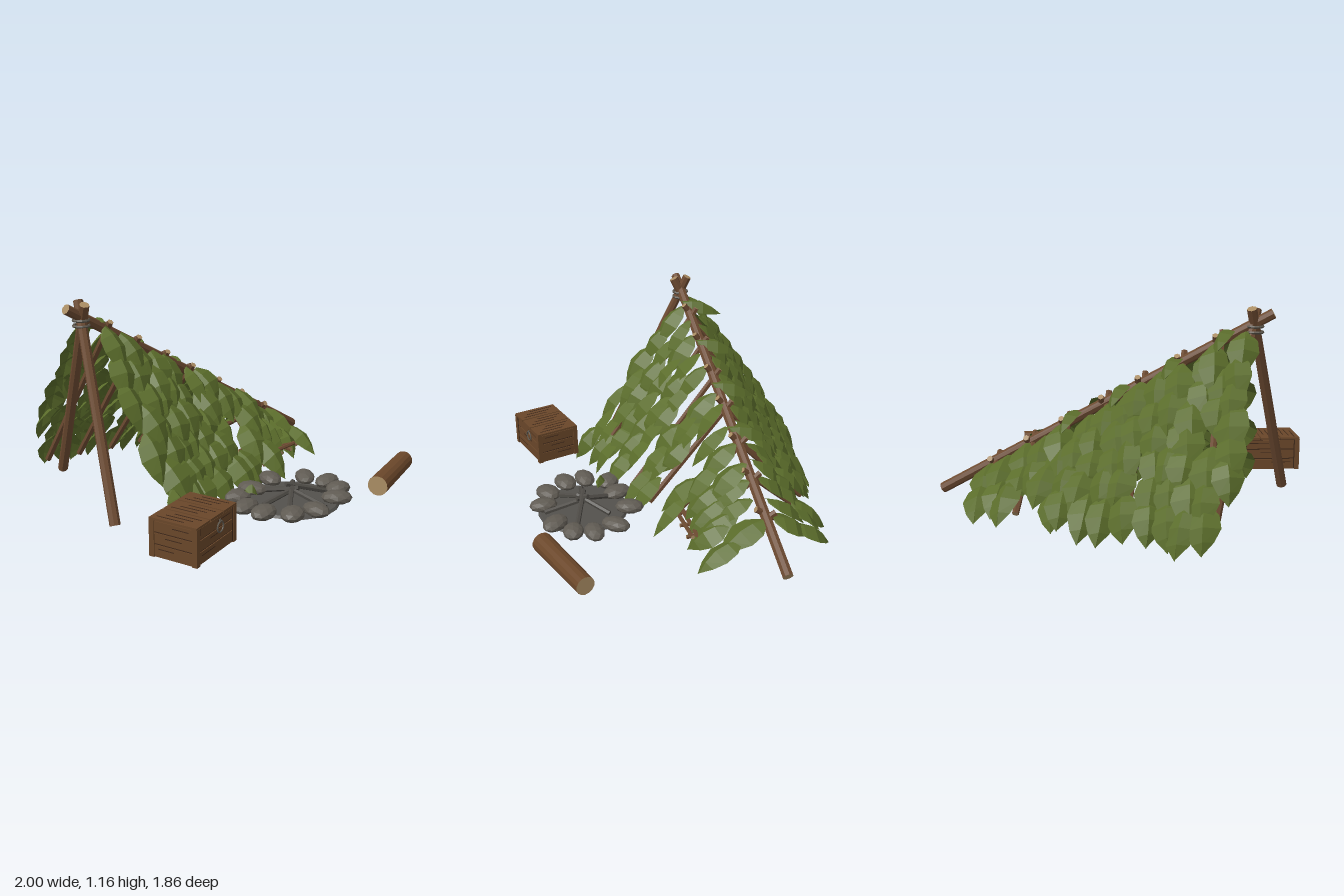
import * as THREE from 'three';

const mat = (name, color, opts = {}) => {
  const m = new THREE.MeshStandardMaterial({ color, flatShading: true, ...opts });
  m.name = name;
  return m;
};

export function createModel() {
  const root = new THREE.Group();
  const bark = mat('bark', 0x6c4a31);
  const endGrain = mat('end grain', 0xa98c63);
  const logBark = mat('log bark', 0x6b472a);
  const green = mat('leaf green', 0x5b6d2b, { side: THREE.DoubleSide });
  const plank = mat('crate plank', 0x694629);
  const seam = mat('dark crate wood', 0x3f291a);
  const stoneGrey = mat('stone', 0x605b53);
  const ash = mat('ash', 0x53514d);
  const char = mat('charred wood', 0x4d4a45);
  const rope = mat('rope', 0x5d574d);

  let seed = 7;
  const rnd = (a = -1, b = 1) => {
    seed = (seed * 16807) % 2147483647;
    return a + (b - a) * (seed / 2147483647);
  };
  const V = (x, y, z) => new THREE.Vector3(x, y, z);
  const group = (name, parent = root) => {
    const g = new THREE.Group();
    g.name = name;
    parent.add(g);
    return g;
  };
  const add = (parent, name, geo, material, x = 0, y = 0, z = 0) => {
    const m = new THREE.Mesh(geo, material);
    m.name = name;
    m.position.set(x, y, z);
    parent.add(m);
    return m;
  };
  // Round stick from a to b
  const rod = (parent, name, a, b, r, side = bark, cap = endGrain, sides = 8) => {
    const d = b.clone().sub(a);
    const m = add(parent, name, new THREE.CylinderGeometry(r * 0.92, r, d.length(), sides), [side, cap, cap]);
    m.position.copy(a).addScaledVector(d, 0.5);
    m.quaternion.setFromUnitVectors(V(0, 1, 0), d.normalize());
    return m;
  };

  // Ridge line and roof slopes; side is +1 at the front, -1 at the back
  const ridge = (x) => V(x, 1.15 - (x + 0.86) * 0.565, -0.22 - (x + 0.86) * 0.021);
  const foot = (x, side, y, inset = 0) => V(x, y, ridge(x).z + side * (0.52 - 0.25 * x - inset));

  // Frame
  const frame = group('shelterFrame');
  rod(frame, 'ridgePole', ridge(0.985), ridge(-0.85), 0.03);
  rod(frame, 'frontLeg', V(-0.91, 0.1, 0.21), V(-0.74, 1.17, -0.26), 0.029);
  rod(frame, 'backLeg', V(-0.6, 0.09, -0.67), V(-0.76, 1.16, -0.18), 0.029);
  for (const y of [1.045, 1.075]) {
    const ring = add(frame, 'lashing', new THREE.TorusGeometry(0.042, 0.008, 5, 12), rope, -0.755, y, -0.22);
    ring.rotation.x = Math.PI / 2;
  }
  for (const x of [-0.57, -0.37, -0.16, 0.04, 0.26, 0.46, 0.67]) {
    for (const side of [1, -1]) {
      const top = ridge(x + side * 0.015);
      const low = foot(x + side * 0.015, side, 0.1, 0.05);
      top.addScaledVector(top.clone().sub(low).normalize(), 0.06);
      rod(frame, 'rafter', low, top, 0.019, bark, endGrain, 6);
    }
  }
  // Low stick rack just inside the front opening
  const rack = group('stickRack');
  for (const z of [0.12, 0.085, 0.01, -0.03]) {
    rod(rack, 'rackRail', V(0.23, 0.15 + rnd() * 0.01, z), V(0.57, 0.15 + rnd() * 0.01, z), 0.013, bark, endGrain, 6);
  }
  for (const x of [0.28, 0.4, 0.52]) {
    rod(rack, 'rackCrossbar', V(x, 0.132, 0.14), V(x, 0.132, -0.06), 0.012, bark, endGrain, 6);
  }

  // Folded leaf along +z, stem at the origin
  const leafGeo = new THREE.PlaneGeometry(2, 1, 2, 4);
  {
    const p = leafGeo.attributes.position;
    const widths = [0.25, 0.85, 1, 0.62, 0.04];
    const along = [0, 0.22, 0.5, 0.78, 1];
    for (let i = 0; i < p.count; i++) {
      const row = Math.floor(i / 3), side = (i % 3) - 1, t = along[row];
      p.setXYZ(i, side * widths[row] * 0.5,
        0.2 * Math.sin(t * Math.PI) - 0.14 * t * t - Math.abs(side) * 0.21 * widths[row],
        t - (side ? 0.04 * side : 0));
    }
    leafGeo.computeVertexNormals();
  }
  const leaf = (parent, pos, down, normal, width, length) => {
    const z = down.clone().normalize();
    const x = normal.clone().cross(z).normalize();
    const y = z.clone().cross(x);
    const m = add(parent, 'leaf', leafGeo, green);
    m.quaternion.setFromRotationMatrix(new THREE.Matrix4().makeBasis(x, y, z));
    m.position.copy(pos);
    m.scale.set(width, 0.2, length);
  };

  // Leaf thatch in columns down each slope
  const columns = {
    front: [-0.64, -0.53, -0.42, -0.31, -0.22, -0.07, 0.02, 0.15, 0.26, 0.37, 0.48, 0.59, 0.71],
    back: [-0.69, -0.58, -0.48, -0.38, -0.27, -0.16, -0.06, 0.05, 0.15, 0.26, 0.37, 0.48, 0.6, 0.71],
  };
  // Places left bare: the opening, the rack and the gable end
  const isBare = (side, x, i, rows) => {
    if (side > 0) return (x === 0.15 && i > 0) || (x > 0.3 && x < 0.56 && i === rows - 1) || (x === -0.22 && i === rows - 1);
    return (x === -0.69 && i > rows - 3) || (x === -0.58 && i === 3) || (x === 0.37 && i === rows - 1);
  };
  for (const [name, xs] of Object.entries(columns)) {
    const side = name === 'front' ? 1 : -1;
    const thatch = group(name + 'Thatch');
    for (const x of xs) {
      const top = ridge(x);
      const slope = foot(x, side, 0.05, side > 0 ? -0.02 : 0).sub(top);
      const span = slope.length();
      slope.normalize();
      const out = V(1, 0, 0).cross(slope).multiplyScalar(-side);
      if (out.y < 0) out.negate();
      const rows = Math.max(2, Math.round((span - 0.24) / 0.15) + 1);
      for (let i = 0; i < rows; i++) {
        if (isBare(side, x, i, rows)) continue;
        const length = rnd(0.24, 0.29);
        const s = 0.02 + (span - 0.27) * i / (rows - 1) + rnd() * 0.015;
        const pos = top.clone().addScaledVector(slope, Math.max(0.01, s)).addScaledVector(out, 0.03);
        pos.x += rnd() * 0.035;
        const down = slope.clone().add(V(rnd() * 0.18, 0, 0)).addScaledVector(out, 0.05);
        leaf(thatch, pos, down, out.clone().add(V(rnd() * 0.3, 0, 0)), rnd(0.16, 0.195), length);
      }
    }
  }
  // Loose leaves lying over the ridge
  const ridgeLeaves = group('ridgeLeaves');
  for (const x of [-0.62, -0.35, -0.07, 0.2]) {
    const p = ridge(x);
    p.y += 0.035;
    p.z += 0.03;
    leaf(ridgeLeaves, p, V(0.22, -0.25, -1), V(0.5, 1, 0), 0.11, 0.24);
  }

  // Fire pit
  const fire = group('firePit');
  fire.position.set(0, 0.085, 0.6);
  add(fire, 'ashBed', new THREE.CylinderGeometry(0.25, 0.26, 0.014, 20), ash, 0, 0.007, 0);
  const stones = [[0.1, -0.25], [-0.08, -0.22], [-0.22, -0.2], [-0.29, -0.07], [-0.28, 0.05], [-0.19, 0.17],
    [-0.06, 0.22], [0.15, 0.19], [0.26, 0.11], [0.3, 0], [0.26, -0.13]];
  for (const [x, z] of stones) {
    const s = add(fire, 'stone', new THREE.IcosahedronGeometry(1, 1), stoneGrey, x, 0.033, z);
    s.scale.set(rnd(0.075, 0.088), 0.038, rnd(0.056, 0.066));
    s.rotation.y = -Math.atan2(z, x) + rnd() * 0.4;
  }
  for (let i = 0; i < 6; i++) {
    const a = i * 1.05 + 0.3 + rnd() * 0.2, r = rnd(0.18, 0.23);
    rod(fire, 'charredStick', V(Math.cos(a) * r, 0.025, Math.sin(a) * r),
      V(-Math.cos(a) * 0.04, rnd(0.07, 0.11), -Math.sin(a) * 0.04), 0.015, char, char, 6);
  }
  leaf(fire, V(-0.2, 0.075, -0.16), V(0.7, -0.1, 0.5), V(0, 1, 0), 0.05, 0.07);

  // Log seat
  rod(root, 'logSeat', V(0.365, 0.153, 0.9), V(0.815, 0.153, 0.76), 0.056, logBark, endGrain, 14);

  // Crate
  const crate = group('crate');
  crate.position.set(-0.795, 0.09, 0.667);
  crate.rotation.y = 0.25;
  const box = (name, w, h, d, m, x, y, z) => add(crate, name, new THREE.BoxGeometry(w, h, d), m, x, y, z);
  box('crateCore', 0.34, 0.186, 0.245, seam, 0, 0.102, 0);
  box('crateFloor', 0.345, 0.01, 0.25, plank, 0, 0.01, 0);
  for (let i = -1; i <= 1; i++) {
    box('lidPlank', 0.115, 0.012, 0.265, plank, i * 0.122, 0.198, 0);
    for (const j of [-1, 0, 1]) box('lidGroove', 0.005, 0.002, 0.15, seam, i * 0.122 + j * 0.03, 0.2045, j * 0.03);
    for (const s of [-1, 1]) {
      const y = 0.041 + (i + 1) * 0.06;
      box('longBoard', 0.35, 0.052, 0.01, plank, 0, y, s * 0.123);
      box('endBoard', 0.01, 0.052, 0.245, plank, s * 0.17, y, 0);
      box('boardGroove', 0.12, 0.004, 0.002, seam, i * 0.07, y + 0.008, s * 0.1285);
      box('endGroove', 0.002, 0.004, 0.09, seam, s * 0.1755, y + 0.008, i * 0.04);
    }
  }
  for (const sx of [-1, 1]) {
    for (const sz of [-1, 1]) {
      box('cornerPost', 0.028, 0.19, 0.028, plank, sx * 0.166, 0.1, sz * 0.12);
      box('postEdge', 0.006, 0.18, 0.002, seam, sx * 0.148, 0.1, sz * 0.1295);
    }
  }
  box('latchPlate', 0.014, 0.02, 0.006, rope, 0.03, 0.162, 0.13);
  add(crate, 'latchRing', new THREE.TorusGeometry(0.028, 0.004, 5, 14), rope, 0.03, 0.135, 0.133);

  return root;
}
